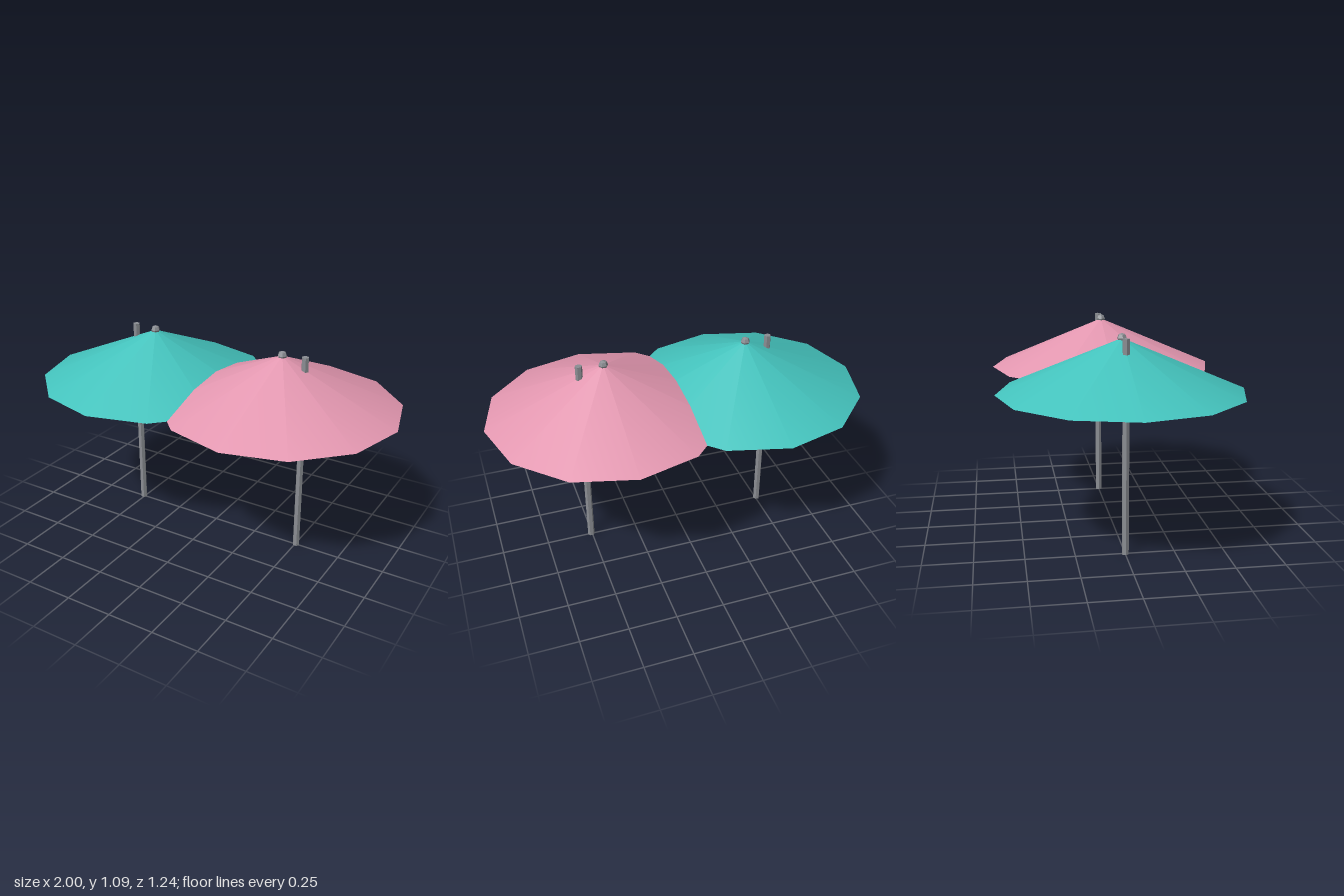
import * as THREE from 'three';

const teal = new THREE.MeshStandardMaterial({ name: 'teal canvas', color: 0x44c3bd });
const pink = new THREE.MeshStandardMaterial({ name: 'pink canvas', color: 0xe397b0 });
const darkTeal = new THREE.MeshStandardMaterial({ name: 'dark teal lining', color: 0x1d3f39 });
const darkPink = new THREE.MeshStandardMaterial({ name: 'dark pink lining', color: 0x4e333b });
const grey = new THREE.MeshStandardMaterial({ name: 'metal grey', color: 0x8a8d92 });

const RADIUS = 0.62, CENTRE_X = 0.38, RIM_Y = 0.804, CANOPY_H = 0.264, POLE_H = 1.083;

// Hard-edged copy of a geometry, one normal per face
function faceted(geometry) {
  const flat = geometry.toNonIndexed();
  flat.computeVertexNormals();
  return flat;
}

// Downward-facing piece of the canopy underside that reaches past the centre line
function overlapLining(side) {
  const rim = (i) => {
    const a = (i * Math.PI) / 6;
    return new THREE.Vector2(side * (CENTRE_X - RADIUS * Math.cos(a)), RADIUS * Math.sin(a));
  };
  // The rim edge between the first and second corner crosses x = 0 at this z
  const crossZ = RADIUS * (Math.sin(Math.PI / 3) + Math.cos(Math.PI / 3)) - CENTRE_X;
  const points = [new THREE.Vector2(0, -crossZ), rim(-1), rim(0), rim(1), new THREE.Vector2(0, crossZ)];
  return new THREE.ShapeGeometry(new THREE.Shape(points)).rotateX(Math.PI / 2);
}

function addMesh(parent, name, geometry, material, x, y) {
  const mesh = new THREE.Mesh(geometry, material);
  mesh.name = name;
  mesh.position.set(x, y, 0);
  parent.add(mesh);
}

// One parasol: closed twelve-sided canopy, knob at its peak, pole set outward of centre
function parasol(name, side, canvas, lining) {
  const group = new THREE.Group();
  group.name = name;
  const canopyX = side * CENTRE_X;
  const pole = new THREE.CylinderGeometry(0.0185, 0.0185, POLE_H, 6).rotateY(Math.PI / 6);
  addMesh(group, 'canopy', new THREE.ConeGeometry(RADIUS, CANOPY_H, 12), canvas, canopyX, RIM_Y + CANOPY_H / 2);
  addMesh(group, 'overlapLining', overlapLining(side), lining, 0, RIM_Y - 0.002);
  addMesh(group, 'knob', faceted(new THREE.SphereGeometry(0.025, 6, 4)), grey, canopyX, RIM_Y + CANOPY_H);
  addMesh(group, 'pole', faceted(pole), grey, side * 0.505, POLE_H / 2);
  return group;
}

export function createModel() {
  const model = new THREE.Group();
  model.name = 'parasolPair';
  model.add(parasol('leftParasol', 1, pink, darkPink), parasol('rightParasol', -1, teal, darkTeal));
  return model;
}
